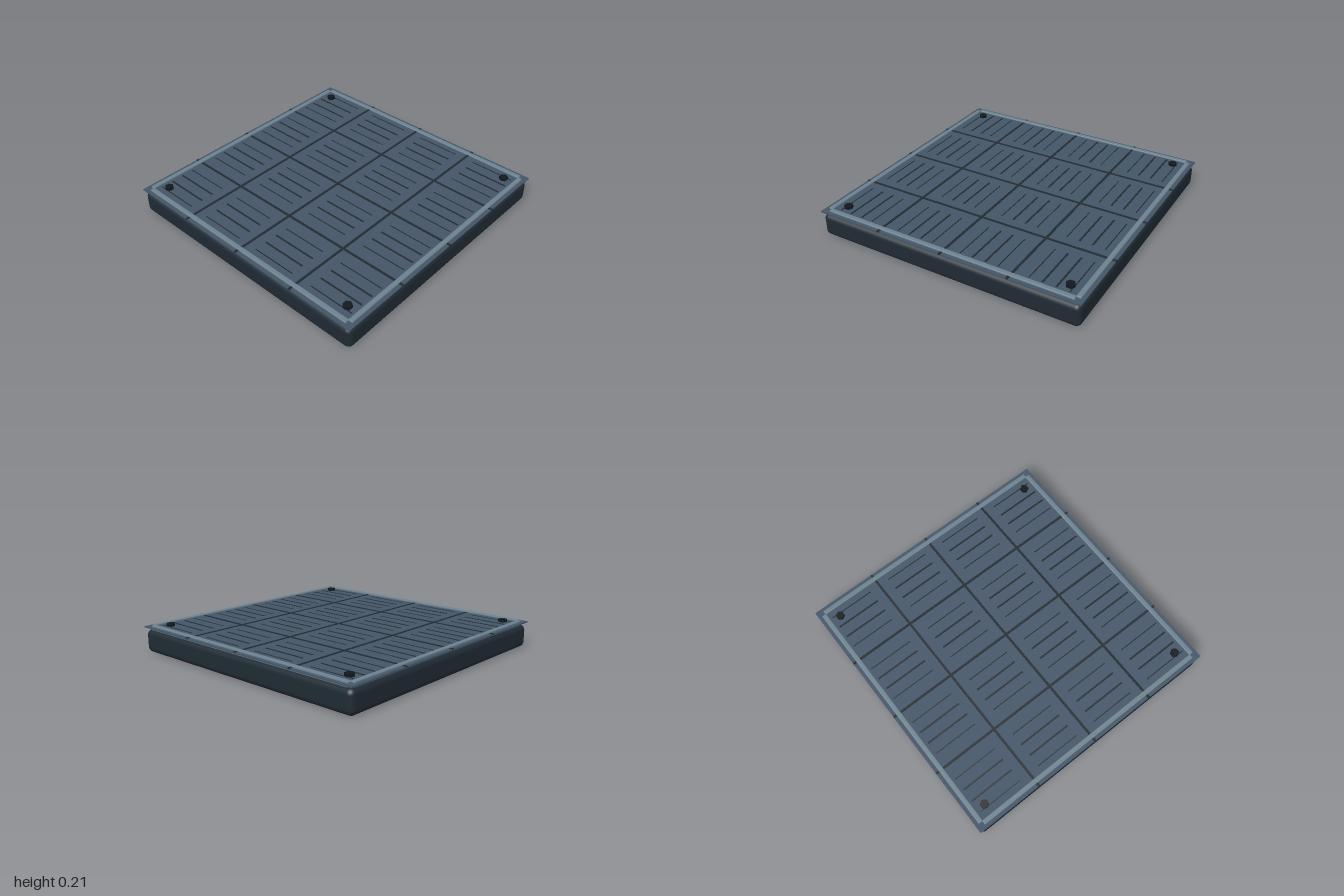
import * as THREE from 'three';
import { RoundedBoxGeometry } from 'three/addons/geometries/RoundedBoxGeometry.js';

const material = (color) => new THREE.MeshStandardMaterial({ color });

export function createModel() {
  const group = new THREE.Group();
  const baseMat = material(0x1f2a33);
  const plateMat = material(0x435567);
  const trimMat = material(0x6b818e);
  const grooveMat = material(0x222b31);
  const boltMat = material(0x12181e);

  const add = (name, geometry, mat, x, y, z) => {
    const mesh = new THREE.Mesh(geometry, mat);
    mesh.name = name;
    mesh.position.set(x, y, z);
    group.add(mesh);
    return mesh;
  };

  // Softly rounded slab and the thin deck plate above it
  add('base', new RoundedBoxGeometry(1.99, 0.168, 1.99, 4, 0.04), baseMat, 0, 0.084, 0);
  add('deckPlate', new THREE.BoxGeometry(2, 0.008, 2), plateMat, 0, 0.188, 0);

  // Raised edge trim, passing through the plate down to the base
  const trim = new RoundedBoxGeometry(1.89, 0.038, 0.035, 2, 0.006);
  for (let i = 0; i < 4; i++) {
    const a = (i * Math.PI) / 2;
    const bar = add('edgeTrim', trim, trimMat, Math.sin(a) * 0.957, 0.184, Math.cos(a) * 0.957);
    bar.rotation.y = a;
  }

  // Seams dividing the deck into a four by four grid
  for (const p of [-0.5, 0, 0.5]) {
    add('seamAcross', new THREE.BoxGeometry(2, 0.01, 0.018), grooveMat, 0, 0.19, p);
    add('seamAlong', new THREE.BoxGeometry(0.018, 0.01, 2), grooveMat, p, 0.19, 0);
  }

  // Four grip strips on each tile, the outer two finer
  const centres = [-0.75, -0.25, 0.25, 0.75];
  const strips = [[-0.139, 0.007], [-0.047, 0.013], [0.047, 0.013], [0.139, 0.007]];
  for (const x of centres) {
    for (const z of centres) {
      for (const [offset, width] of strips) {
        add('gripStrip', new THREE.BoxGeometry(0.34, 0.006, width), grooveMat, x, 0.191, z + offset);
      }
    }
  }

  // Hexagonal corner bolts
  const bolt = new THREE.CylinderGeometry(0.032, 0.032, 0.022, 6);
  for (const x of [-0.865, 0.865]) {
    for (const z of [-0.865, 0.865]) add('cornerBolt', bolt, boltMat, x, 0.202, z);
  }
  return group;
}
